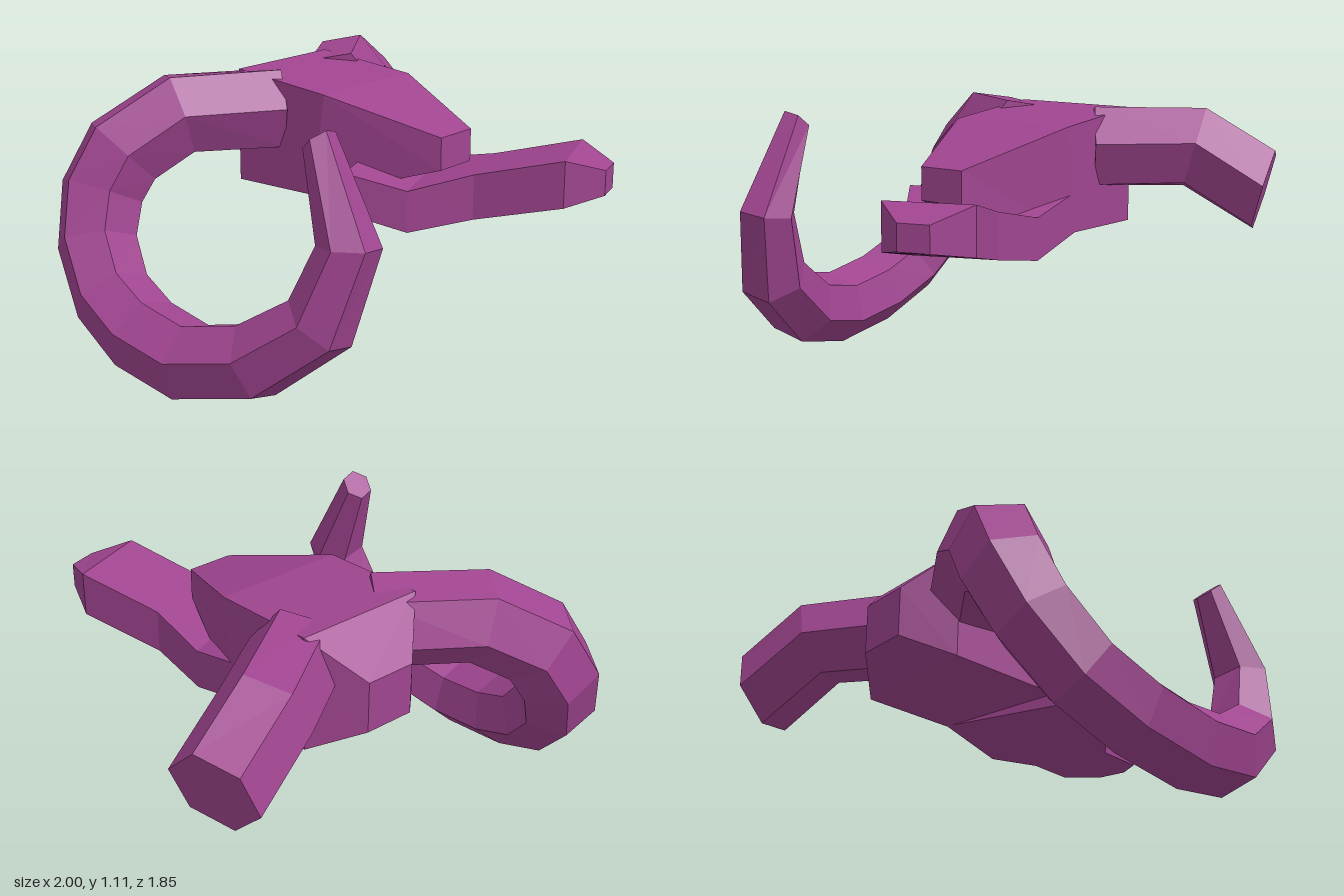
import * as THREE from 'three';

const V = (x, y, z) => new THREE.Vector3(x, y, z);
const rad = THREE.MathUtils.degToRad;
const material = new THREE.MeshStandardMaterial({ color: 0xa04590, flatShading: true });

// Closed skin over rings that run counter-clockwise around the travel direction
function loft(name, rings) {
  const pos = [];
  const tri = (...pts) => pts.forEach(p => pos.push(p.x, p.y, p.z));
  const n = rings[0].length;
  for (let i = 0; i < rings.length - 1; i++) {
    for (let k = 0; k < n; k++) {
      const j = (k + 1) % n;
      const a = rings[i][k], b = rings[i][j], c = rings[i + 1][j], d = rings[i + 1][k];
      tri(a, b, c);
      tri(a, c, d);
    }
  }
  const first = rings[0], last = rings[rings.length - 1];
  for (let k = 1; k < n - 1; k++) {
    tri(first[0], first[k + 1], first[k]);
    tri(last[0], last[k], last[k + 1]);
  }
  const geo = new THREE.BufferGeometry();
  geo.setAttribute('position', new THREE.Float32BufferAttribute(pos, 3));
  geo.computeVertexNormals();
  const mesh = new THREE.Mesh(geo, material);
  mesh.name = name;
  return mesh;
}

// Six-sided horn swept along stations [x, y, z, radius], its end cap facing endDirection
function horn(name, stations, startNormal, startAngle, twistPerStation, endDirection) {
  const centres = stations.map(s => V(s[0], s[1], s[2]));
  const last = centres.length - 1;
  const normal = startNormal.clone();
  const rings = centres.map((c, i) => {
    const t = V(0, 0, 0);
    if (i === last) t.copy(endDirection);
    else t.copy(centres[i + 1]).sub(c).normalize();
    if (i > 0 && i < last) t.add(c.clone().sub(centres[i - 1]).normalize());
    t.normalize();
    normal.addScaledVector(t, -normal.dot(t)).normalize();
    const side = t.clone().cross(normal);
    return Array.from({ length: 6 }, (_, k) => {
      const a = startAngle + i * twistPerStation + k * Math.PI / 3, r = stations[i][3];
      return c.clone().addScaledVector(normal, r * Math.cos(a)).addScaledVector(side, r * Math.sin(a));
    });
  });
  return loft(name, rings);
}

export function createModel() {
  const group = new THREE.Group();
  group.name = 'hornedSkull';

  // Skull, back to front: [top z, bottom z, x min, x max, top y, bottom y]
  const skull = [
    [-0.69, -0.69, 0.03, 0.235, 0.92, 0.71],
    [-0.525, -0.53, -0.13, 0.398, 1.09, 0.62],
    [-0.06, -0.12, -0.13, 0.398, 1.05, 0.63],
    [0.39, 0.39, 0.04, 0.23, 0.92, 0.79],
  ].map(([zt, zb, x0, x1, yt, yb]) => [V(x1, yb, zb), V(x1, yt, zt), V(x0, yt, zt), V(x0, yb, zb)]);
  group.add(loft('skull', skull));

  // Askew lower jaw, back to front: [left x, left z, right x, right z, top y, bottom y]
  const jaw = [
    [0.396, -0.13, -0.23, 0.13, 0.79, 0.63],
    [0.396, 0.13, -0.09, 0.33, 0.725, 0.558],
    [0.4, 0.39, 0.09, 0.51, 0.785, 0.605],
    [0.54, 0.71, 0.22, 0.835, 0.87, 0.685],
    [0.48, 0.89, 0.365, 0.925, 0.82, 0.72],
  ].map(([xl, zl, xr, zr, yt, yb]) => [V(xl, yb, zl), V(xl, yt, zl), V(xr, yt, zr), V(xr, yb, zr)]);
  group.add(loft('lowerJaw', jaw));

  // Broken horn stump
  group.add(horn('brokenHorn', [
    [0.315, 0.935, -0.385, 0.18],
    [0.65, 0.935, -0.62, 0.18],
    [0.925, 0.775, -0.7, 0.18],
  ], V(0.57, 0, 0.82), rad(-10), 0, V(0.91, -0.25, -0.34)));

  // Full horn curling down, forward and up to a blunt tip
  group.add(horn('curledHorn', [
    [-0.045, 0.935, -0.385, 0.18],
    [-0.38, 0.935, -0.62, 0.18],
    [-0.585, 0.8, -0.735, 0.18],
    [-0.675, 0.645, -0.77, 0.175],
    [-0.755, 0.46, -0.72, 0.165],
    [-0.815, 0.285, -0.57, 0.16],
    [-0.845, 0.19, -0.36, 0.16],
    [-0.85, 0.15, -0.095, 0.158],
    [-0.79, 0.215, 0.19, 0.155],
    [-0.71, 0.4, 0.435, 0.14],
    [-0.65, 0.69, 0.52, 0.118],
    [-0.63, 1.045, 0.365, 0.065],
  ], V(-0.57, 0, 0.82), rad(10), rad(-1.9), V(0.05, 0.75, -0.66)));

  return group;
}
